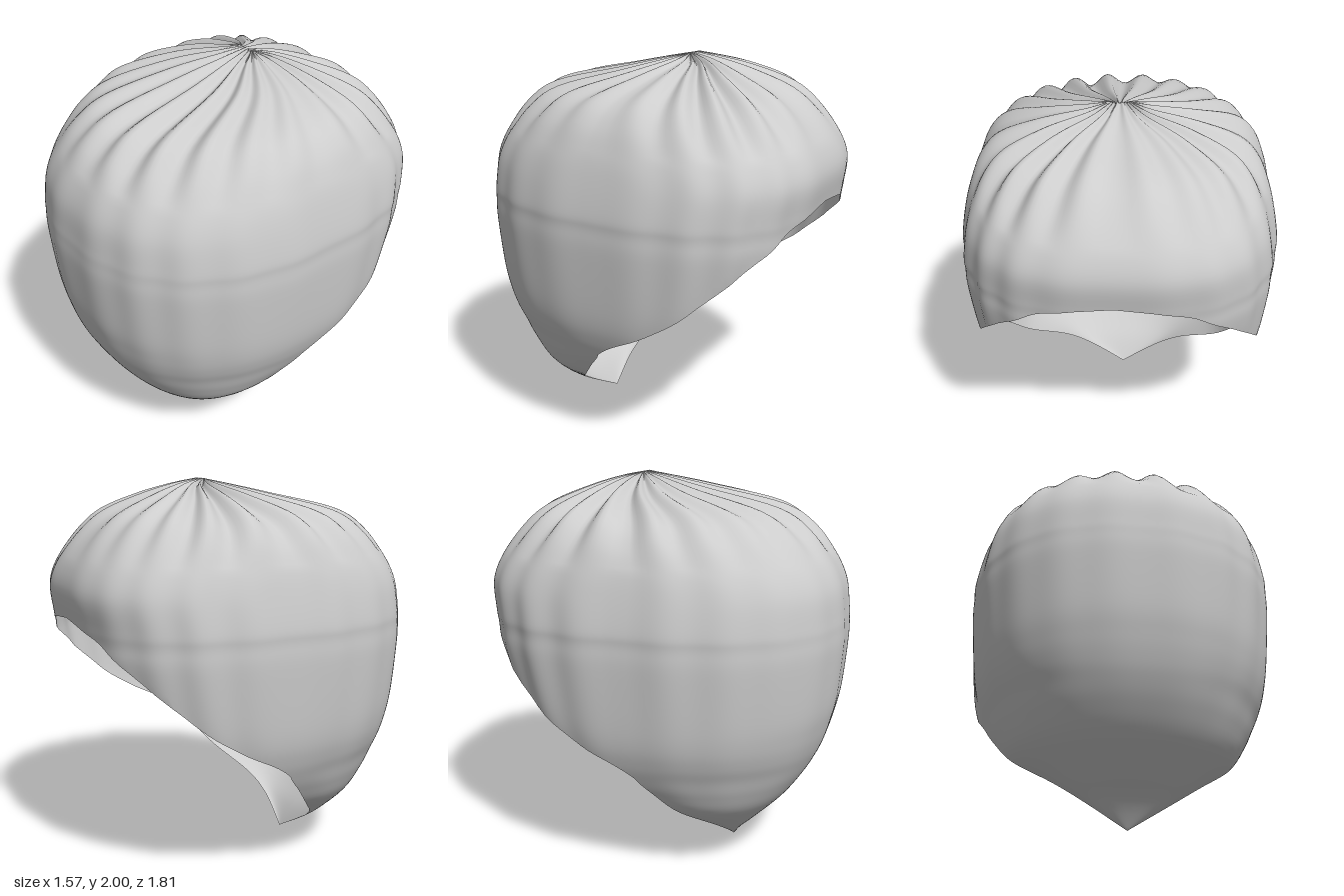
import * as THREE from 'three';
import { mergeVertices } from 'three/addons/utils/BufferGeometryUtils.js';

// Horizontal sections: [y, half width, front z, centre z, back z, rim z]
const SECTIONS = [
  [0, 0, 0.34, 0.34, 0.3, 0.34],
  [0.12, 0.2, 0.42, 0.36, 0.1, 0.36],
  [0.22, 0.35, 0.52, 0.32, -0.1, 0.32],
  [0.36, 0.54, 0.655, 0.18, -0.35, 0.18],
  [0.48, 0.63, 0.74, 0.08, -0.5, 0.08],
  [0.58, 0.685, 0.795, 0, -0.6, 0],
  [0.66, 0.72, 0.828, 0, -0.65, -0.11],
  [0.76, 0.75, 0.858, 0, -0.71, -0.3],
  [0.9, 0.77, 0.888, 0, -0.79, -0.5],
  [1.15, 0.79, 0.91, 0, -0.865, -0.765],
  [1.26, 0.79, 0.91, 0, -0.88, -0.845],
  [1.33, 0.79, 0.905, 0, -0.89, -0.89],
  [1.47, 0.765, 0.885, 0, -0.905, -0.905],
  [1.6, 0.73, 0.825, 0, -0.86, -0.86],
  [1.74, 0.67, 0.72, -0.02, -0.76, -0.76],
  [1.84, 0.57, 0.56, -0.05, -0.64, -0.64],
  [1.92, 0.37, 0.2, -0.12, -0.45, -0.45],
  [1.97, 0.16, -0.03, -0.16, -0.29, -0.29],
  [1.995, 0.05, -0.16, -0.16, -0.16, -0.16],
];
const CLOSED_Y = 1.329; // above this the section is a full ring
const COLS = 200;
const STEPS = 5;
const FOLDS = 20;

const { clamp, smoothstep, lerp } = THREE.MathUtils;
const signedPow = (v, p) => Math.sign(v) * Math.abs(v) ** p;

// Smooth blend between neighbouring sections
function sectionAt(i, t) {
  const last = SECTIONS.length - 1;
  const [p0, p1, p2, p3] = [-1, 0, 1, 2].map((k) => SECTIONS[clamp(i + k, 0, last)]);
  return p1.map((b, c) => {
    const m1 = (p2[c] - p0[c]) / 2;
    const m2 = (p3[c] - p1[c]) / 2;
    const d = p2[c] - b;
    return b + t * (m1 + t * (3 * d - 2 * m1 - m2 + t * (m1 + m2 - 2 * d)));
  });
}

function hoodGeometry() {
  const positions = [];
  const index = [];
  const rows = (SECTIONS.length - 1) * STEPS;
  for (let r = 0; r <= rows; r++) {
    const i = Math.min(Math.floor(r / STEPS), SECTIONS.length - 2);
    const [y, w, front, mid, back, rim] = sectionAt(i, r / STEPS - i);

    // Squareness of the section: the back is squarer, the crown rounder
    const crown = smoothstep(y, 1.45, 1.8);
    const frontPower = lerp(2.28, 2.05, crown);
    const backPower = lerp(2.85, 2.5, crown);

    // How far round this section reaches before it meets the open rim
    const reach = clamp((mid - rim) / Math.max(mid - back, 0.001), 0, 1);
    const maxAngle = y >= CLOSED_Y ? Math.PI : Math.PI - Math.acos(reach ** (backPower / 2));

    // Soft folds down the sides, deep pleats gathered at the crown
    const soft = 0.022 * smoothstep(y, 0.3, 1.3);
    const pleat = 0.055 * Math.sin(Math.PI * clamp((y - 1.6) / 0.44, 0, 1));
    for (let c = 0; c <= COLS; c++) {
      // Columns past the rim are gathered onto it
      const a = clamp(((2 * c) / COLS - 1) * Math.PI, -maxAngle, maxAngle);
      const vary = 0.7 + 0.3 * Math.sin(3 * a + 0.6);
      const valley = (0.5 + 0.5 * Math.cos(FOLDS * a)) * vary;
      const k = 1 - soft * valley * (0.5 + 0.5 * Math.sin(a) ** 2);
      const isFront = Math.abs(a) <= Math.PI / 2;
      const p = 2 / (isFront ? frontPower : backPower);
      positions.push(
        w * k * signedPow(Math.sin(a), p),
        y - pleat * valley,
        mid + k * signedPow(Math.cos(a), p) * (isFront ? front - mid : mid - back),
      );
      if (r < rows && c < COLS) {
        const n = r * (COLS + 1) + c;
        const up = n + COLS + 1;
        index.push(n, n + 1, up, n + 1, up + 1, up);
      }
    }
  }
  const geometry = new THREE.BufferGeometry();
  geometry.setAttribute('position', new THREE.Float32BufferAttribute(positions, 3));
  geometry.setIndex(index);
  const welded = mergeVertices(geometry, 1e-5); // join the back seam, the tip and the rim
  welded.computeVertexNormals();
  return welded;
}

export function createModel() {
  const cloth = new THREE.MeshStandardMaterial({ color: 0xcccccc, side: THREE.DoubleSide });
  cloth.name = 'light grey cloth';

  const hood = new THREE.Mesh(hoodGeometry(), cloth);
  hood.name = 'gatheredHood';

  const group = new THREE.Group();
  group.name = 'hood';
  group.add(hood);
  return group;
}
